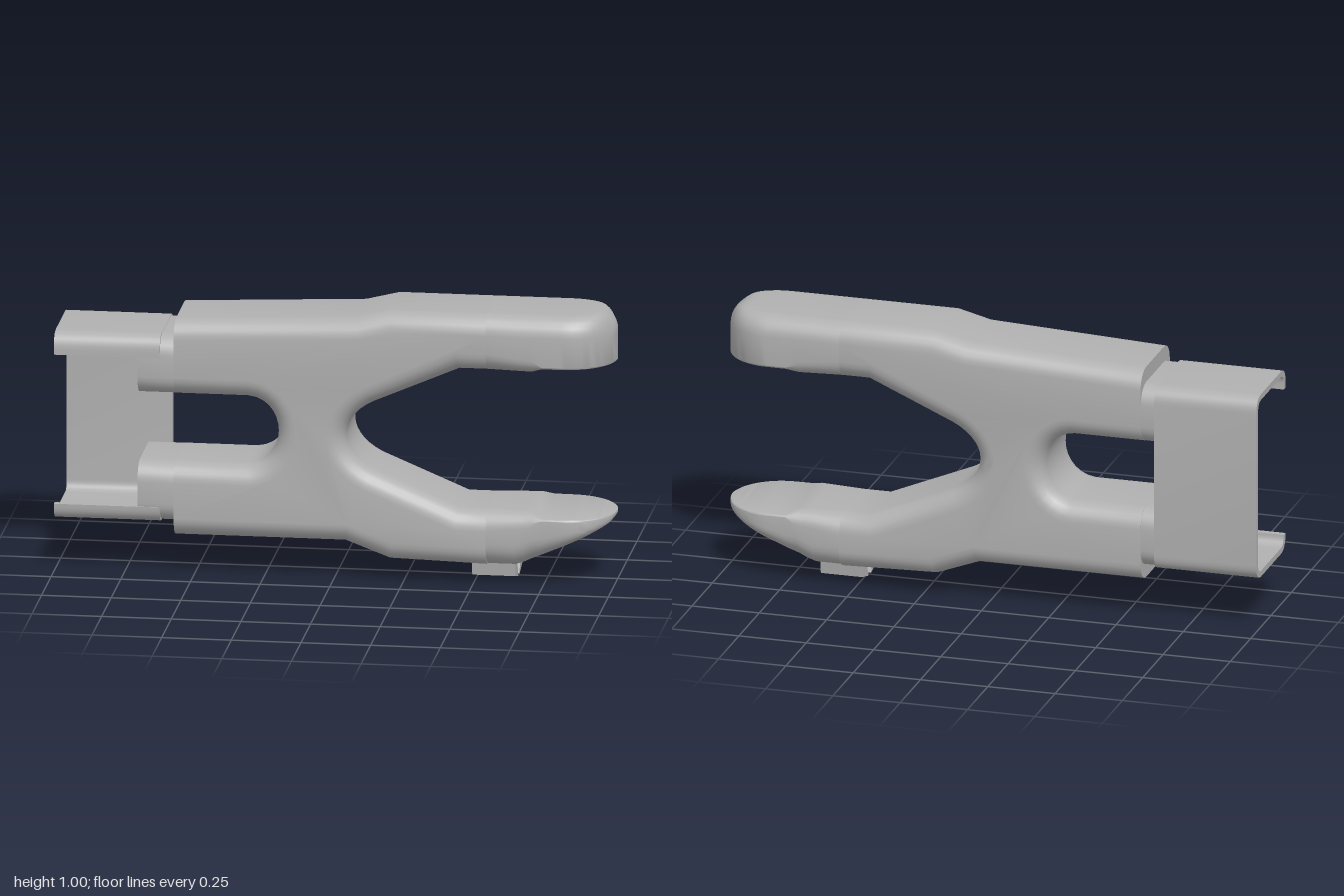
import * as THREE from 'three';
import { toCreasedNormals } from 'three/addons/utils/BufferGeometryUtils.js';

const HALF = 0.18; // half width in z
const R = 0.07; // edge rounding

// Ring of a rounded rectangle in the z/y plane, counter-clockwise seen from +x
function ring({ x, y0, y1, w = HALF, rt = R, rb = R }) {
  const pts = [];
  const n = 6;
  const lim = Math.min(w, (y1 - y0) / 2) * 0.98;
  const corner = (su, y, sy, r, a0) => {
    for (let i = 0; i <= n; i++) {
      const a = a0 + (i / n) * Math.PI / 2;
      pts.push([x, y - sy * r + r * Math.sin(a), -(su * (w - r) + r * Math.cos(a))]);
    }
  };
  const t = Math.min(rt, lim), b = Math.min(rb, lim);
  corner(1, y1, 1, t, 0);
  corner(-1, y1, 1, t, Math.PI / 2);
  corner(-1, y0, -1, b, Math.PI);
  corner(1, y0, -1, b, Math.PI * 1.5);
  return pts;
}

// Solid skinned along x through a list of sections
function loft(sections) {
  const rings = sections.map(ring);
  const n = rings[0].length, last = (rings.length - 1) * n;
  const index = [];
  for (let i = 0; i < rings.length - 1; i++) {
    for (let j = 0; j < n; j++) {
      const k = (j + 1) % n;
      const a = i * n + j, b = i * n + k, c = b + n, d = a + n;
      index.push(a, b, c, a, c, d);
    }
  }
  for (let j = 1; j < n - 1; j++) {
    index.push(0, j + 1, j, last, last + j, last + j + 1);
  }
  const g = new THREE.BufferGeometry();
  g.setAttribute('position', new THREE.Float32BufferAttribute(rings.flat(2), 3));
  g.setIndex(index);
  return toCreasedNormals(g, 0.6);
}

// Piecewise linear height along x
function along(points, x) {
  for (let i = 1; i < points.length; i++) {
    const [xa, ya] = points[i - 1], [xb, yb] = points[i];
    if (x <= xb) return ya + (yb - ya) * (x - xa) / (xb - xa);
  }
  return points[points.length - 1][1];
}

// x stations of a jaw and its semicircular plan
const stations = [0.55, 0.65, 0.68, 0.71, 0.75, 0.82];
for (let i = 1; i <= 14; i++) stations.push(0.82 + 0.18 * Math.sin((i / 14) * Math.PI / 2));
const planWidth = (x) => x <= 0.82 ? HALF
  : Math.max(0.004, HALF * Math.sqrt(Math.max(0, 1 - ((x - 0.82) / 0.18) ** 2)));

export function createModel() {
  const group = new THREE.Group();
  const metal = new THREE.MeshStandardMaterial({ color: 0xb0b0b0 });
  metal.name = 'grey metal';
  const add = (name, geometry) => {
    const mesh = new THREE.Mesh(geometry, metal);
    mesh.name = name;
    group.add(mesh);
    return mesh;
  };

  // Central frame: two beams joined by a waisted web
  const s = new THREE.Shape();
  s.moveTo(-0.57, 0.935);
  s.lineTo(0.08, 0.965);
  s.lineTo(0.2, 0.995);
  s.lineTo(0.55, 0.995);
  s.lineTo(0.55, 0.79);
  s.lineTo(0.45, 0.79);
  s.lineTo(0.14, 0.655);
  s.bezierCurveTo(0.01, 0.59, 0.01, 0.47, 0.14, 0.405);
  s.lineTo(0.45, 0.275);
  s.lineTo(0.55, 0.275);
  s.lineTo(0.55, 0.07);
  s.lineTo(0.2, 0.08);
  s.lineTo(0.04, 0.14);
  s.lineTo(-0.57, 0.14);
  s.lineTo(-0.57, 0.41);
  s.lineTo(-0.31, 0.41);
  s.bezierCurveTo(-0.165, 0.42, -0.165, 0.65, -0.31, 0.66);
  s.lineTo(-0.57, 0.66);
  s.closePath();
  const frame = new THREE.ExtrudeGeometry(s, {
    depth: 2 * (HALF - R), curveSegments: 14, bevelEnabled: true, bevelSegments: 6,
    bevelSize: R, bevelThickness: R, bevelOffset: -R,
  });
  frame.translate(0, 0, R - HALF);
  // Keep the cut ends square
  const p = frame.attributes.position;
  for (let i = 0; i < p.count; i++) {
    if (p.getX(i) < -0.45) p.setX(i, -0.57);
    else if (p.getX(i) > 0.47) p.setX(i, 0.55);
  }
  add('frame', toCreasedNormals(frame, 0.6));

  // Upper jaw with rounded nose
  const upperBottom = [[0.55, 0.79], [0.71, 0.79], [0.75, 0.81], [1, 0.81]];
  add('upperJaw', loft(stations.map((x) => {
    const k = Math.max(0, (x - 0.925) / 0.075);
    return {
      x, w: planWidth(x), y0: along(upperBottom, x),
      y1: 0.995 - 0.075 * (1 - Math.sqrt(Math.max(0, 1 - k * k))),
      rb: along([[0.55, R], [0.71, 0.05], [0.75, 0.008], [1, 0.008]], x),
    };
  })));

  // Lower jaw tapering up to a thin lip
  const lowerTop = [[0.55, 0.275], [0.71, 0.275], [0.75, 0.257], [1, 0.255]];
  const lowerBottom = [[0.55, 0.07], [0.65, 0.07], [0.68, 0.08], [0.98, 0.225], [1, 0.245]];
  add('lowerJaw', loft(stations.map((x) => ({
    x, w: planWidth(x), y0: along(lowerBottom, x), y1: along(lowerTop, x),
    rt: along([[0.55, R], [0.71, 0.05], [0.75, 0.008], [1, 0.008]], x), rb: 0.085,
  }))));

  // Stepped arm ends that enter the sleeve
  for (const [name, y0, y1] of [['upperArm', 0.66, 0.878], ['lowerArm', 0.192, 0.41]]) {
    add(name, loft([-0.7, -0.56].map((x) => ({ x, y0, y1, w: 0.178 }))));
  }

  // Sleeve: thin channel open to the front, drawn with shape x = -z
  const c = new THREE.Shape();
  const r = 0.06, t = 0.022, o = HALF, i = HALF - t;
  c.moveTo(-o, 0.8);
  c.lineTo(-o, 0.88 - r);
  c.quadraticCurveTo(-o, 0.88, -o + r, 0.88);
  c.lineTo(o - r, 0.88);
  c.quadraticCurveTo(o, 0.88, o, 0.88 - r);
  c.lineTo(o, 0.19 + r);
  c.quadraticCurveTo(o, 0.19, o - r, 0.19);
  c.lineTo(-o + r, 0.19);
  c.quadraticCurveTo(-o, 0.19, -o, 0.19 + r);
  c.lineTo(-i, 0.19 + r);
  c.quadraticCurveTo(-i, 0.19 + t, -i + r - t, 0.19 + t);
  c.lineTo(i - r + t, 0.19 + t);
  c.quadraticCurveTo(i, 0.19 + t, i, 0.19 + r);
  c.lineTo(i, 0.88 - r);
  c.quadraticCurveTo(i, 0.88 - t, i - r + t, 0.88 - t);
  c.lineTo(-i + r - t, 0.88 - t);
  c.quadraticCurveTo(-i, 0.88 - t, -i, 0.88 - r);
  c.lineTo(-i, 0.8);
  c.closePath();
  const sleeve = new THREE.ExtrudeGeometry(c, { depth: 0.38, bevelEnabled: false, curveSegments: 8 });
  sleeve.rotateY(Math.PI / 2);
  sleeve.translate(-1, 0, 0);
  add('sleeve', toCreasedNormals(sleeve, 0.6));

  // Pair of wedge feet under the lower jaw
  for (const side of [1, -1]) {
    const f = new THREE.Shape([[0.1, 0.09], [0.09, 0.02], [0.015, 0], [0.05, 0.09]]
      .map(([z, y]) => new THREE.Vector2(-side * z, y)));
    const foot = new THREE.ExtrudeGeometry(f, { depth: 0.155, bevelEnabled: false });
    foot.rotateY(Math.PI / 2);
    foot.translate(0.49, 0, 0);
    add(side > 0 ? 'frontFoot' : 'backFoot', foot);
  }
  return group;
}
